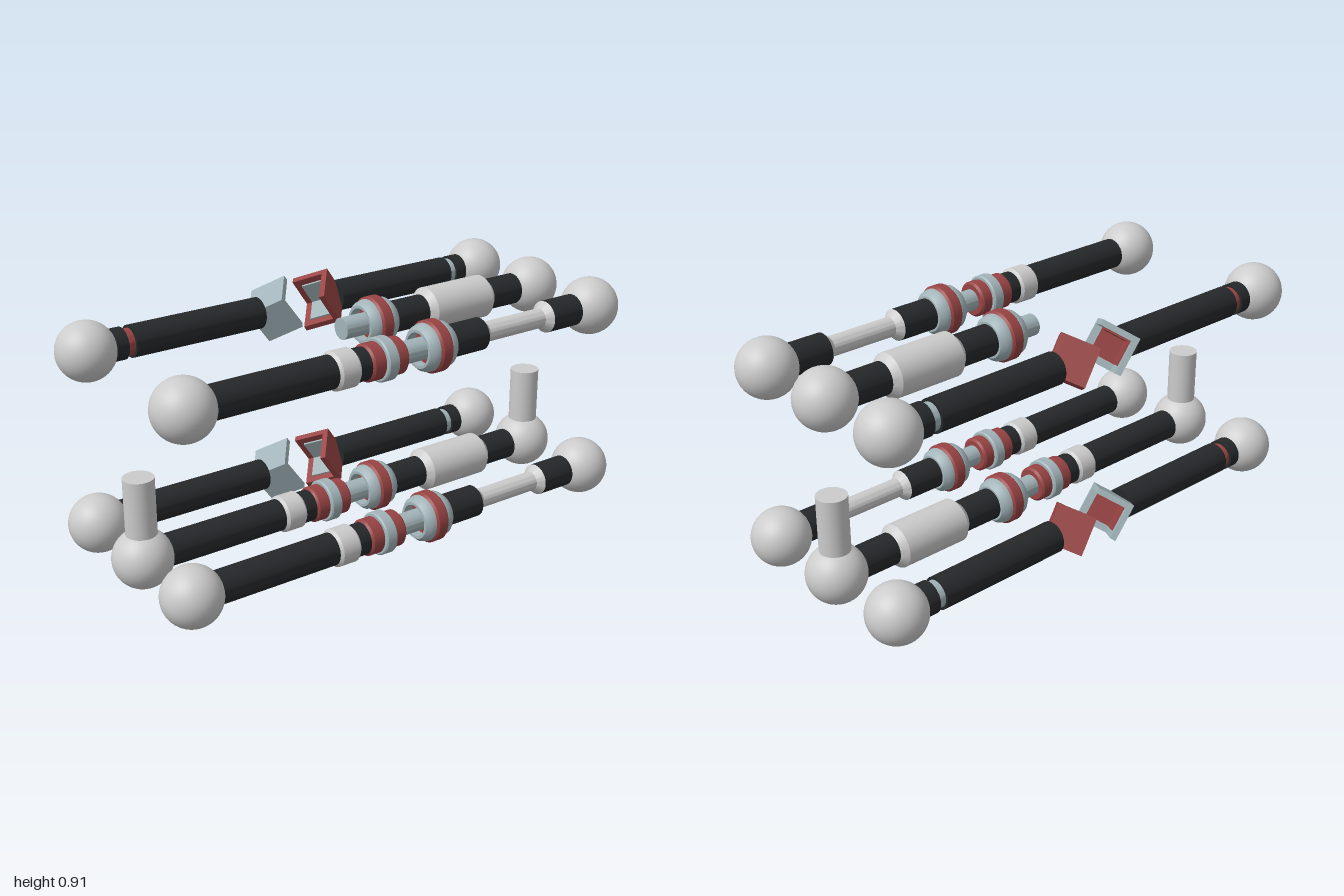
import * as THREE from 'three';
import { toCreasedNormals } from 'three/addons/utils/BufferGeometryUtils.js';

const mat = (color) => new THREE.MeshStandardMaterial({ color });
const GREY = mat(0xcccccc), BLACK = mat(0x25282a), RED = mat(0x984343), BLUE = mat(0xa2b4b9);
const ROD = 0.06, BALL = 0.11, BALL_X = 0.89, ROW = 0.335;

function add(parent, name, geometry, material) {
  const mesh = new THREE.Mesh(geometry, material);
  mesh.name = name;
  parent.add(mesh);
  return mesh;
}

// Solid of revolution about the x axis, profile given as [x, radius] pairs
function turned(parent, name, profile, material) {
  const points = profile.map(([x, r]) => new THREE.Vector2(r, x));
  const geometry = new THREE.LatheGeometry(points, 40).rotateZ(-Math.PI / 2);
  return add(parent, name, toCreasedNormals(geometry, 0.5), material);
}

// Closed cylinder along x with optional bevelled ends
function bar(parent, name, x0, x1, r, material, bevel = 0) {
  const profile = bevel
    ? [[x0, 0], [x0, r - bevel], [x0 + bevel, r], [x1 - bevel, r], [x1, r - bevel], [x1, 0]]
    : [[x0, 0], [x0, r], [x1, r], [x1, 0]];
  return turned(parent, name, profile, material);
}

function ball(parent, side) {
  add(parent, 'endBall', new THREE.SphereGeometry(BALL, 40, 24), GREY).position.x = side * BALL_X;
}

// Left half: rod ending in a ringed plug
function plugHalf() {
  const g = new THREE.Group();
  g.name = 'plugHalf';
  ball(g, -1);
  bar(g, 'rod', -0.86, -0.18, ROD, BLACK);
  bar(g, 'collar', -0.325, -0.235, 0.07, GREY, 0.01);
  bar(g, 'plugRing', -0.188, -0.128, 0.068, RED, 0.008);
  bar(g, 'plugBand', -0.132, -0.084, 0.08, BLUE, 0.005);
  bar(g, 'plugRing', -0.088, -0.033, 0.068, RED, 0.008);
  return g;
}

// Right half: open socket with a centre pin, and a thick or thin grip
function socketHalf(thick) {
  const g = new THREE.Group();
  g.name = 'socketHalf';
  ball(g, 1);
  turned(g, 'socket', [[0.13, 0], [0.13, 0.06], [0.05, 0.06], [0.05, 0.07], [0.065, 0.083],
    [0.085, 0.088], [0.145, 0.088], [0.165, 0.083], [0.182, 0.068], [0.182, 0]], BLUE);
  bar(g, 'socketRing', 0.088, 0.142, 0.096, RED, 0.008);
  bar(g, 'pin', -0.035, 0.14, 0.041, BLUE);
  bar(g, 'rod', 0.175, 0.335, ROD, BLACK);
  bar(g, 'rod', 0.655, 0.86, ROD, BLACK);
  const r = thick ? 0.083 : 0.037;
  turned(g, thick ? 'sleeve' : 'thinGrip', [[0.335, 0], [0.335, ROD], [0.36, r],
    [0.63, r], [0.655, ROD], [0.655, 0]], GREY);
  return g;
}

// Half with a cube-corner jaw; the corner points along +x into the rod
function cornerHalf(main, accent) {
  const g = new THREE.Group();
  g.name = 'cornerHalf';
  ball(g, 1);
  bar(g, 'rod', 0.177, 0.72, ROD, BLACK);
  bar(g, 'band', 0.71, 0.76, 0.05, accent);
  bar(g, 'rod', 0.75, 0.86, ROD, BLACK);

  const jaw = new THREE.Group();
  jaw.name = 'cornerJaw';
  const size = 0.147, t = 0.022, pad = 0.098;
  for (let axis = 0; axis < 3; axis++) {
    const place = (name, s, depth, centre, normalCentre, material) => {
      const dims = [s, s, s], pos = [centre, centre, centre];
      dims[axis] = depth;
      pos[axis] = normalCentre;
      add(jaw, name, new THREE.BoxGeometry(...dims), material).position.set(...pos);
    };
    place('jawPlate', size, t, size / 2, t / 2, main);
    place('jawPad', pad, 0.008, t + pad / 2, t + 0.003, accent);
  }
  // Aim the cube diagonal along -x with a slight twist
  const a = Math.sqrt(1 / 3), b = Math.sqrt(2 / 3), c = Math.sqrt(1 / 6), d = Math.sqrt(1 / 2);
  const basis = new THREE.Matrix4().makeBasis(
    new THREE.Vector3(-a, b, 0), new THREE.Vector3(-a, -c, -d), new THREE.Vector3(-a, -c, d));
  basis.premultiply(new THREE.Matrix4().makeRotationX(0.08));
  jaw.quaternion.setFromRotationMatrix(basis);
  jaw.position.x = 0.22;
  g.add(jaw);
  return g;
}

export function createModel() {
  const model = new THREE.Group();
  model.name = 'connectorRods';

  [0.122, 0.789].forEach((y, level) => {
    const layer = new THREE.Group();
    layer.name = level ? 'upperLayer' : 'lowerLayer';
    layer.position.y = y;

    const front = new THREE.Group();
    front.name = 'frontRod';
    front.position.z = ROW;
    front.add(plugHalf(), socketHalf(false));

    // The upper middle rod has only its socket half
    const middle = new THREE.Group();
    middle.name = 'middleRod';
    middle.add(socketHalf(true));
    if (level === 0) {
      middle.add(plugHalf());
      for (const side of [-1, 1]) {
        const post = add(middle, 'post', new THREE.CylinderGeometry(0.056, 0.056, 0.25, 40), GREY);
        post.position.set(side * BALL_X, 0.183, 0);
      }
    }

    const back = new THREE.Group();
    back.name = 'backRod';
    back.position.z = -ROW;
    const left = cornerHalf(BLUE, RED);
    left.rotation.z = Math.PI;
    back.add(cornerHalf(RED, BLUE), left);

    layer.add(front, middle, back);
    model.add(layer);
  });
  return model;
}
